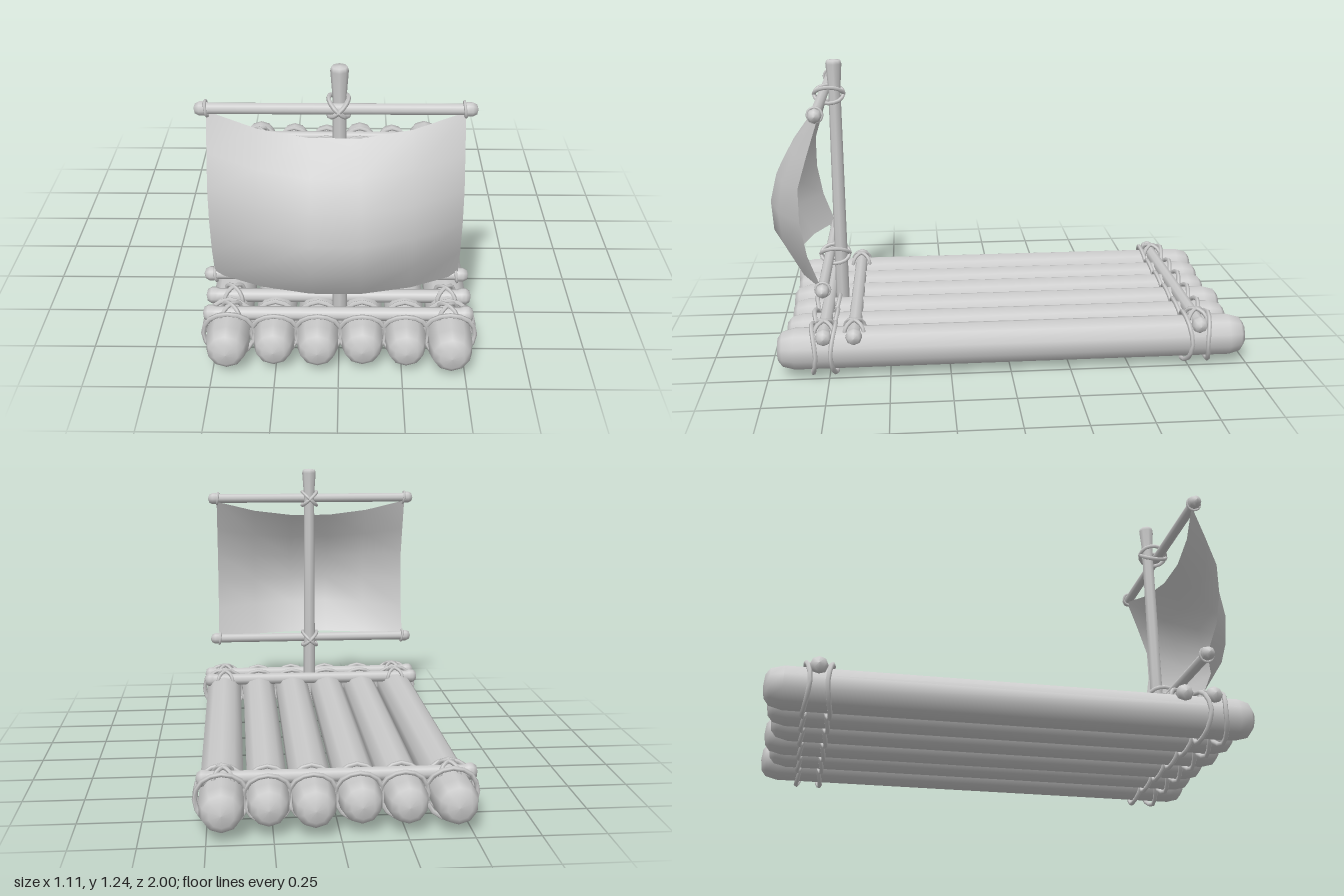
import * as THREE from 'three';

const material = new THREE.MeshStandardMaterial({ color: 0xcccccc });
const clothMaterial = new THREE.MeshStandardMaterial({ color: 0xcccccc, side: THREE.DoubleSide });

function add(parent, name, geometry, mat = material) {
  const mesh = new THREE.Mesh(geometry, mat);
  mesh.name = name;
  parent.add(mesh);
  return mesh;
}

// Turned pole along +y from [radius, height] pairs
function pole(profile, sides = 8) {
  return new THREE.LatheGeometry(profile.map(([r, y]) => new THREE.Vector2(r, y)), sides);
}

// Closed rope loop: an ellipse in the local xz plane, with an optional wobble along y
function ropeLoop(rx, rz, thickness, wobble = 0) {
  const points = [];
  for (let i = 0; i < 8; i++) {
    const a = (i / 8) * Math.PI * 2;
    points.push(new THREE.Vector3(Math.cos(a) * rx, wobble * Math.cos(a * 2), Math.sin(a) * rz));
  }
  const path = new THREE.CatmullRomCurve3(points, true);
  return new THREE.TubeGeometry(path, 16, thickness, 5, true);
}

// Horizontal pole along x with swollen, rounded ends
function crossPole(xMin, xMax, r, endR) {
  const g = pole([
    [0, xMin], [endR * 0.7, xMin + 0.006], [endR, xMin + 0.022], [endR, xMin + 0.04], [r, xMin + 0.055],
    [r, xMax - 0.055], [endR, xMax - 0.04], [endR, xMax - 0.022], [endR * 0.7, xMax - 0.006], [0, xMax],
  ]);
  return g.rotateZ(-Math.PI / 2).scale(1, -1, -1);
}

// Two tilted loops making an X-shaped knot
function crossKnot(parent, name, x, y, z, rx, rz, axis) {
  const knot = new THREE.Group();
  knot.name = name;
  for (const side of [-1, 1]) {
    const loop = add(knot, 'knotLoop', ropeLoop(rx, rz, 0.009));
    loop.rotation[axis] = side * 0.75;
  }
  knot.position.set(x, y, z);
  parent.add(knot);
  return knot;
}

export function createModel() {
  const raft = new THREE.Group();
  raft.name = 'raft';
  const logY = 0.115;

  // Logs: [x, radius, back end, front end]
  const logs = [
    [-0.44, 0.087, -0.99, 0.95], [-0.256, 0.083, -0.975, 0.935], [-0.083, 0.084, -0.96, 0.94],
    [0.094, 0.085, -0.985, 0.93], [0.266, 0.082, -0.965, 0.94], [0.442, 0.088, -1.0, 0.965],
  ];
  const lashings = [0.81, 0.73, -0.745, -0.83];
  logs.forEach(([x, r, back, front], i) => {
    const g = pole([
      [0, back], [r * 0.55, back + 0.006], [r * 0.84, back + 0.025], [r, back + 0.075],
      [r, front - 0.075], [r * 0.84, front - 0.025], [r * 0.55, front - 0.006], [0, front],
    ], 10);
    add(raft, 'log', g.rotateX(Math.PI / 2)).position.set(x, logY, 0);

    // Rope rings round each log, either side of the crossbars
    const ringR = i === 0 || i === 5 ? 0.103 : 0.094;
    lashings.forEach((z, j) => {
      const ring = add(raft, 'logLashing', ropeLoop(ringR, ringR, 0.01, j % 2 ? 0.01 : -0.01));
      ring.rotation.x = Math.PI / 2;
      ring.position.set(x, logY, z);
    });
  });

  // Crossbars lashed to the outer logs
  for (const z of [0.768, 0.645, -0.79]) {
    add(raft, 'crossbar', crossPole(-0.545, 0.54, 0.028, 0.034)).position.set(0, 0.187, z);
    for (const x of [-0.43, 0.435]) {
      const knot = crossKnot(raft, 'crossbarKnot', x, 0.188, z, 0.042, 0.055, 'x');
      // turn the loops so that they wrap the bar diagonally
      knot.children.forEach((loop, i) => loop.rotation.set(0, i ? 0.75 : -0.75, Math.PI / 2));
    }
  }

  // Mast with a flared head
  add(raft, 'mast', pole([
    [0, 0.1], [0.03, 0.1], [0.028, 0.5], [0.026, 1.12], [0.034, 1.225], [0.03, 1.241], [0, 1.245],
  ])).position.set(0.003, 0, 0.715);

  // Upper and lower yards with their knots and sail ties
  for (const y of [1.095, 0.375]) {
    add(raft, 'yard', crossPole(-0.528, 0.508, 0.022, 0.028)).position.set(0, y, 0.765);
    crossKnot(raft, 'mastKnot', 0, y, 0.74, 0.05, 0.064, 'z');
    for (const x of [-0.482, 0.46]) {
      const tie = add(raft, 'sailTie', ropeLoop(0.029, 0.029, 0.006));
      tie.rotation.z = Math.PI / 2 + 0.12;
      tie.position.set(x, y, 0.765);
    }
  }

  // Billowing sail: rows blend between an edge curve and a centre curve
  const edge = [[1.08, 0.755], [0.93, 0.805], [0.8, 0.845], [0.66, 0.845], [0.52, 0.82], [0.378, 0.768]];
  const centre = [[1.003, 0.82], [0.88, 0.91], [0.77, 0.97], [0.65, 1.0], [0.52, 0.992], [0.376, 0.9]];
  const sail = new THREE.PlaneGeometry(0.95, 1, 5, 5);
  const pos = sail.attributes.position;
  for (let i = 0; i < pos.count; i++) {
    const row = Math.floor(i / 6);
    const u = ((i % 6) / 5) * 2 - 1;
    const k = (1 - u * u) / 0.96;
    pos.setXYZ(i, -0.01 + u * 0.475,
      THREE.MathUtils.lerp(edge[row][0], centre[row][0], k),
      THREE.MathUtils.lerp(edge[row][1], centre[row][1], k));
  }
  sail.computeVertexNormals();
  add(raft, 'sail', sail, clothMaterial);

  return raft;
}
